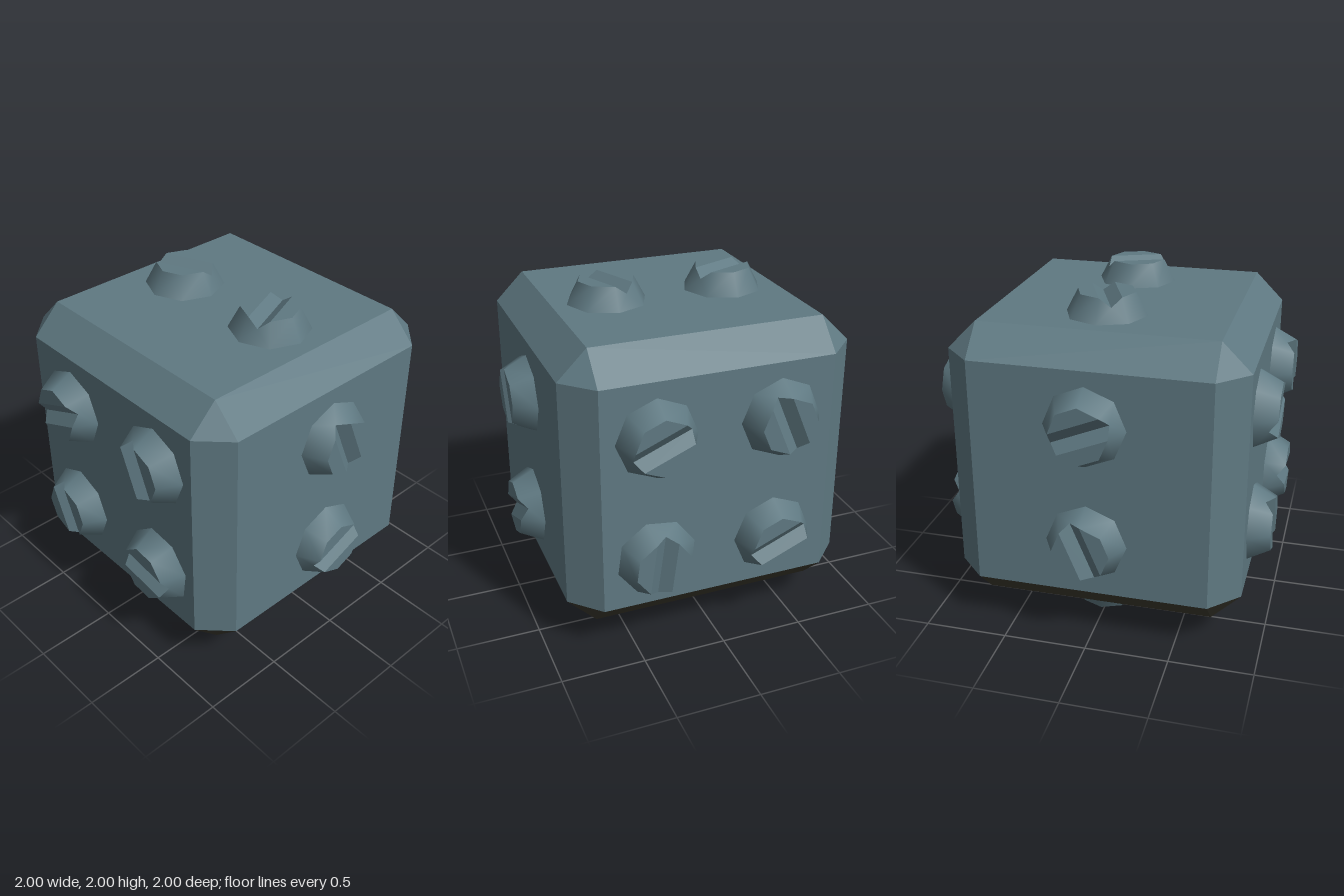
import * as THREE from 'three';
import { mergeGeometries, toCreasedNormals } from 'three/addons/utils/BufferGeometryUtils.js';
import { ConvexGeometry } from 'three/addons/geometries/ConvexGeometry.js';

const HALF = 0.867, CHAMFER = 0.173, CENTER_Y = 1.003;
const BASE_R = 0.24, CAP_R = 0.17, HEIGHT = 0.133, SLOT_DEPTH = 0.05;

function fromPoints(points) {
  const geometry = new THREE.BufferGeometry().setFromPoints(points);
  geometry.computeVertexNormals();
  return geometry;
}

// Chamfered cube; faces are grouped by how far they point downward
function blockGeometry() {
  const points = [], inner = HALF - CHAMFER;
  for (const x of [-1, 1]) for (const y of [-1, 1]) for (const z of [-1, 1]) {
    points.push(new THREE.Vector3(x * HALF, y * inner, z * inner));
    points.push(new THREE.Vector3(x * inner, y * HALF, z * inner));
    points.push(new THREE.Vector3(x * inner, y * inner, z * HALF));
  }
  const geometry = new ConvexGeometry(points);
  const pos = geometry.attributes.position, normal = geometry.attributes.normal;
  const parts = [[], [], []];
  for (let i = 0; i < pos.count; i += 3) {
    const ny = normal.getY(i);
    const slot = ny < -0.9 ? 2 : ny < -0.2 ? 1 : 0;
    for (let k = 0; k < 3; k++) parts[slot].push(new THREE.Vector3().fromBufferAttribute(pos, i + k));
  }
  return mergeGeometries(parts.map(fromPoints), true);
}

// Eight-sided tapered stud along +z, with a V-shaped slot across its cap
function studGeometry() {
  const at = (r, step, z) => {
    const a = step * Math.PI / 4;
    return new THREE.Vector3(r * Math.cos(a), r * Math.sin(a), z);
  };
  const base = i => at(BASE_R, i, 0), cap = i => at(CAP_R, i, HEIGHT);
  const exitR = (CAP_R + (BASE_R - CAP_R) * SLOT_DEPTH / HEIGHT) * Math.cos(Math.PI / 8);
  const notch = i => at(exitR, i + 0.5, HEIGHT - SLOT_DEPTH);

  // sides, two of them notched by the slot
  const sides = [];
  for (let i = 0; i < 8; i++) {
    const a = base(i), b = base(i + 1), c = cap(i), d = cap(i + 1);
    if (i % 4 === 0) {
      const e = notch(i);
      sides.push(a, b, e, a, e, c, b, d, e);
    } else sides.push(a, b, d, a, d, c);
  }

  // cap halves and slot walls
  const top = [];
  for (const s of [0, 4]) {
    top.push(cap(s + 1), cap(s + 2), cap(s + 3), cap(s + 1), cap(s + 3), cap(s + 4));
    const near = notch(s), far = notch(s + 4);
    top.push(cap(s + 1), cap(s + 4), far, cap(s + 1), far, near);
  }
  return mergeGeometries([toCreasedNormals(fromPoints(sides), 0.8), fromPoints(top)]);
}

export function createModel() {
  const steel = new THREE.MeshStandardMaterial({ color: 0x5f7982 });
  steel.name = 'steelBlue';
  const grime = new THREE.MeshStandardMaterial({ color: 0x3c3a2f });
  grime.name = 'darkOlive';
  const rust = new THREE.MeshStandardMaterial({ color: 0x45260c });
  rust.name = 'darkBrown';

  const model = new THREE.Group();
  model.name = 'studdedBlock';

  const block = new THREE.Mesh(blockGeometry(), [steel, grime, rust]);
  block.name = 'block';
  block.position.y = CENTER_Y;
  model.add(block);

  // each face: turn about x and y, then studs as [across, up, spin in degrees]
  const q = Math.PI / 2;
  const faces = [
    ['front', 0, 0, [[-0.36, 0.367, 0], [0.39, 0.367, 90], [-0.36, -0.365, 90], [0.395, -0.365, -30]]],
    ['back', 0, 2 * q, [[-0.37, 0.36, 0], [0.37, 0.36, 90], [-0.375, -0.395, 60], [0.35, -0.395, 0]]],
    ['left', 0, q, [[0.03, 0.357, 90], [0.03, -0.397, 0]]],
    ['right', 0, -q, [[-0.02, 0.365, 0], [-0.02, -0.363, 90]]],
    ['top', -q, 0, [[-0.37, 0.02, 0], [0.365, 0.02, 90]]],
    ['bottom', q, 0, [[-0.4, -0.02, 90], [0.35, -0.02, 0]]],
  ];
  const stud = studGeometry();
  for (const [name, rx, ry, studs] of faces) {
    const face = new THREE.Group();
    face.name = name + 'Studs';
    face.position.y = CENTER_Y;
    face.rotation.set(rx, ry, 0);
    for (const [x, y, spin] of studs) {
      const mesh = new THREE.Mesh(stud, steel);
      mesh.name = name + 'Stud';
      mesh.position.set(x, y, HALF);
      mesh.rotation.z = THREE.MathUtils.degToRad(spin);
      face.add(mesh);
    }
    model.add(face);
  }
  return model;
}
